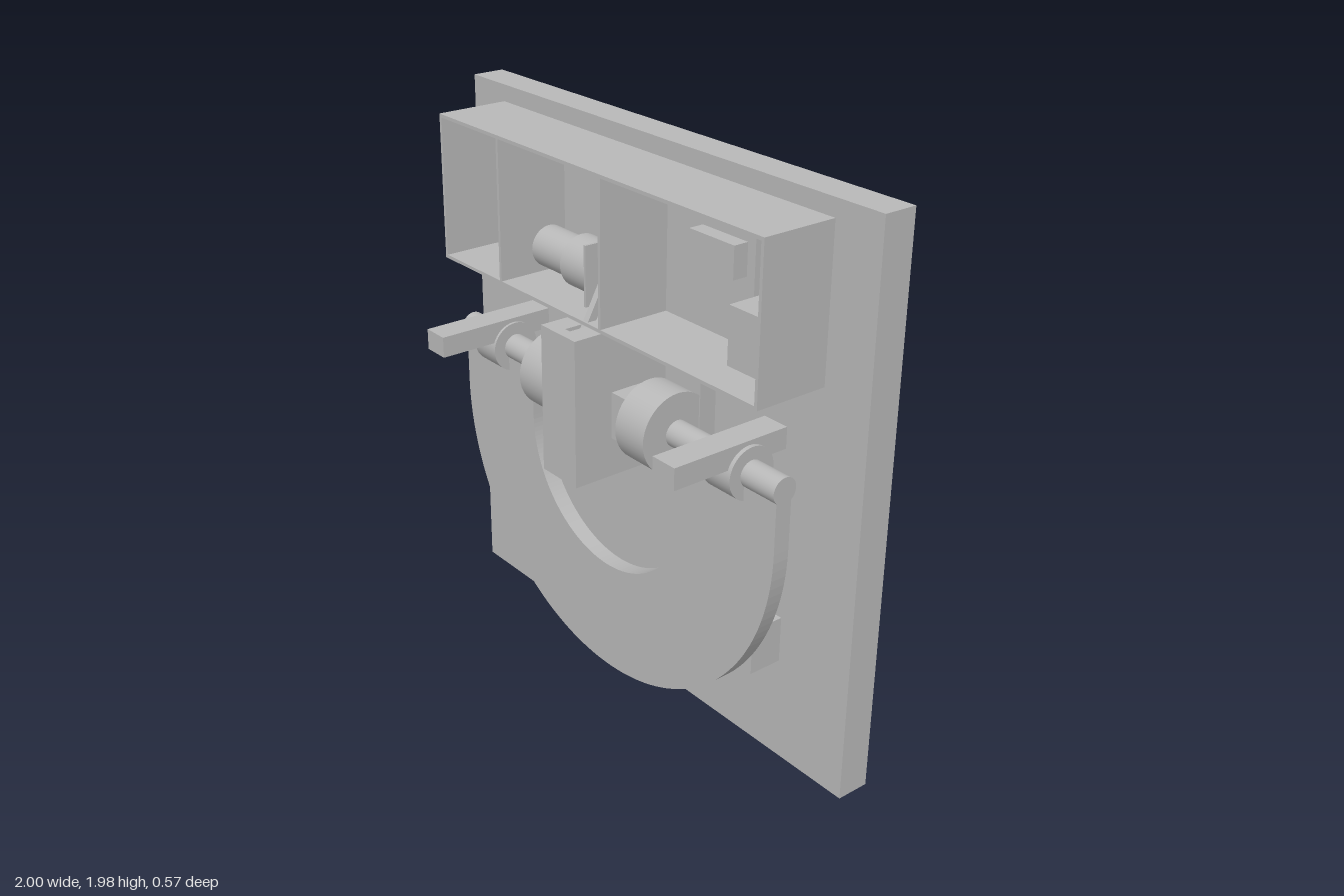
import * as THREE from 'three';

export function createModel() {
  const root = new THREE.Group();
  root.name = 'wallMechanism';
  const grey = new THREE.MeshStandardMaterial({ color: 0xb8b8b8 });
  grey.name = 'plain grey';

  function add(name, geometry) {
    const mesh = new THREE.Mesh(geometry, grey);
    mesh.name = name;
    root.add(mesh);
    return mesh;
  }
  // box given by its limits on each axis
  function box(name, x0, x1, y0, y1, z0, z1) {
    const m = add(name, new THREE.BoxGeometry(x1 - x0, y1 - y0, z1 - z0));
    m.position.set((x0 + x1) / 2, (y0 + y1) / 2, (z0 + z1) / 2);
    return m;
  }
  // cylinder lying along x
  function rod(name, x0, x1, r, y, z) {
    const g = new THREE.CylinderGeometry(r, r, x1 - x0, 40).rotateZ(Math.PI / 2);
    const m = add(name, g);
    m.position.set((x0 + x1) / 2, y, z);
    return m;
  }
  function rectangle(C, x0, x1, y0, y1) {
    const s = new C();
    s.moveTo(x0, y0);
    s.lineTo(x1, y0);
    s.lineTo(x1, y1);
    s.lineTo(x0, y1);
    s.closePath();
    return s;
  }
  // extruded rectangle with a rectangular opening
  function frame(name, outer, inner, z0, z1) {
    const s = rectangle(THREE.Shape, ...outer);
    s.holes.push(rectangle(THREE.Path, ...inner));
    const g = new THREE.ExtrudeGeometry(s, { depth: z1 - z0, bevelEnabled: false });
    const m = add(name, g);
    m.position.z = z0;
    return m;
  }

  const WALL = -0.165; // front face of the board
  const AY = 1.11, AZ = -0.01; // main axle

  // backboard, hollow at the rear
  frame('boardFrame', [-1, 1, 0, 1.98], [-0.9, 0.9, 0.1, 1.88], -0.285, -0.185);
  box('boardPanel', -1, 1, 0, 1.98, -0.185, WALL);

  // open-fronted cabinet with three compartments
  frame('cabinet', [-0.815, 0.815, 1.4, 1.92], [-0.803, 0.803, 1.412, 1.908], WALL, 0.105);
  for (const x of [-0.47, 0.08]) {
    box('cabinetDivider', x - 0.006, x + 0.006, 1.412, 1.908, WALL, 0.105);
  }
  box('compartmentPanel', -0.795, -0.485, 1.42, 1.9, WALL, -0.15);

  // motor on its upright plate
  rod('motorBody', -0.425, -0.24, 0.073, 1.515, -0.07);
  rod('motorHead', -0.24, -0.105, 0.092, 1.515, -0.07);
  box('motorPlate', -0.105, -0.095, 1.412, 1.625, WALL, 0.025);

  // control board parts
  box('controlPlate', 0.125, 0.525, 1.545, 1.875, WALL, -0.14);
  box('controlModule', 0.285, 0.49, 1.655, 1.765, -0.14, -0.085);
  box('powerBlock', 0.58, 0.78, 1.435, 1.63, WALL, 0.01);

  // central housing, with a slot in its top for the lever
  const hz = 0.21, t = 0.01;
  box('housingFront', -0.09, 0.09, 0.88, 1.4, hz - t, hz);
  box('housingBottom', -0.09, 0.09, 0.88, 0.89, WALL, hz - t);
  for (const s of [-1, 1]) {
    const a = s * 0.085;
    box('housingSide', a - 0.005, a + 0.005, 0.89, 1.4, WALL, hz - t);
    const b = s * 0.046;
    box('housingTop', b - 0.034, b + 0.034, 1.39, 1.4, WALL, hz - t);
  }
  box('housingTopBack', -0.012, 0.012, 1.39, 1.4, WALL, -0.02);
  box('housingTopFront', -0.012, 0.012, 1.39, 1.4, 0.17, hz - t);
  rod('wheel', -0.02, 0.02, 0.2, AY, AZ);
  const lever = add('lever', new THREE.BoxGeometry(0.024, 0.36, 0.03));
  lever.position.set(0, 1.405, 0.085);
  lever.rotation.x = -0.49;

  // parts mirrored on both sides of the axle
  for (const s of [-1, 1]) {
    const mbox = (name, x0, x1, ...rest) =>
      box(name, Math.min(s * x0, s * x1), Math.max(s * x0, s * x1), ...rest);
    const mrod = (name, x0, x1, r) =>
      rod(name, Math.min(s * x0, s * x1), Math.max(s * x0, s * x1), r, AY, AZ);
    mrod('axle', 0.09, 0.83, 0.046);
    mrod('drum', 0.195, 0.335, 0.14);
    mrod('clamp', 0.56, 0.685, 0.09);
    mbox('arm', 0.57, 0.67, 1.14, 1.215, WALL, 0.285);
    mbox('mountPlate', 0.195, 0.34, 0.82, 1.39, WALL, -0.1);
    mbox('ringTab', 0.54, 0.69, 0.82, 1.07, -0.065, -0.04);
    mbox('ringStandoff', 0.53, 0.69, 0.37, 0.535, WALL, -0.04);
  }
  rod('collar', -0.165, -0.118, 0.078, AY, AZ);
  box('bearingBlock', 0.1, 0.173, 1.025, 1.19, -0.09, 0.07);

  // U-shaped plate hanging from the axle
  const cy = 0.9, R = 0.828, r = 0.415;
  const u = new THREE.Shape();
  u.moveTo(-R, AY);
  u.lineTo(-R, cy);
  u.absarc(0, cy, R, Math.PI, Math.PI * 2, false);
  u.lineTo(R, AY);
  u.lineTo(r, AY);
  u.lineTo(r, cy);
  u.absarc(0, cy, r, 0, -Math.PI, true);
  u.lineTo(-r, AY);
  u.closePath();
  const ring = add('hangingPlate', new THREE.ExtrudeGeometry(u, {
    depth: 0.06, bevelEnabled: false, curveSegments: 40,
  }));
  ring.position.z = -0.04;

  return root;
}
